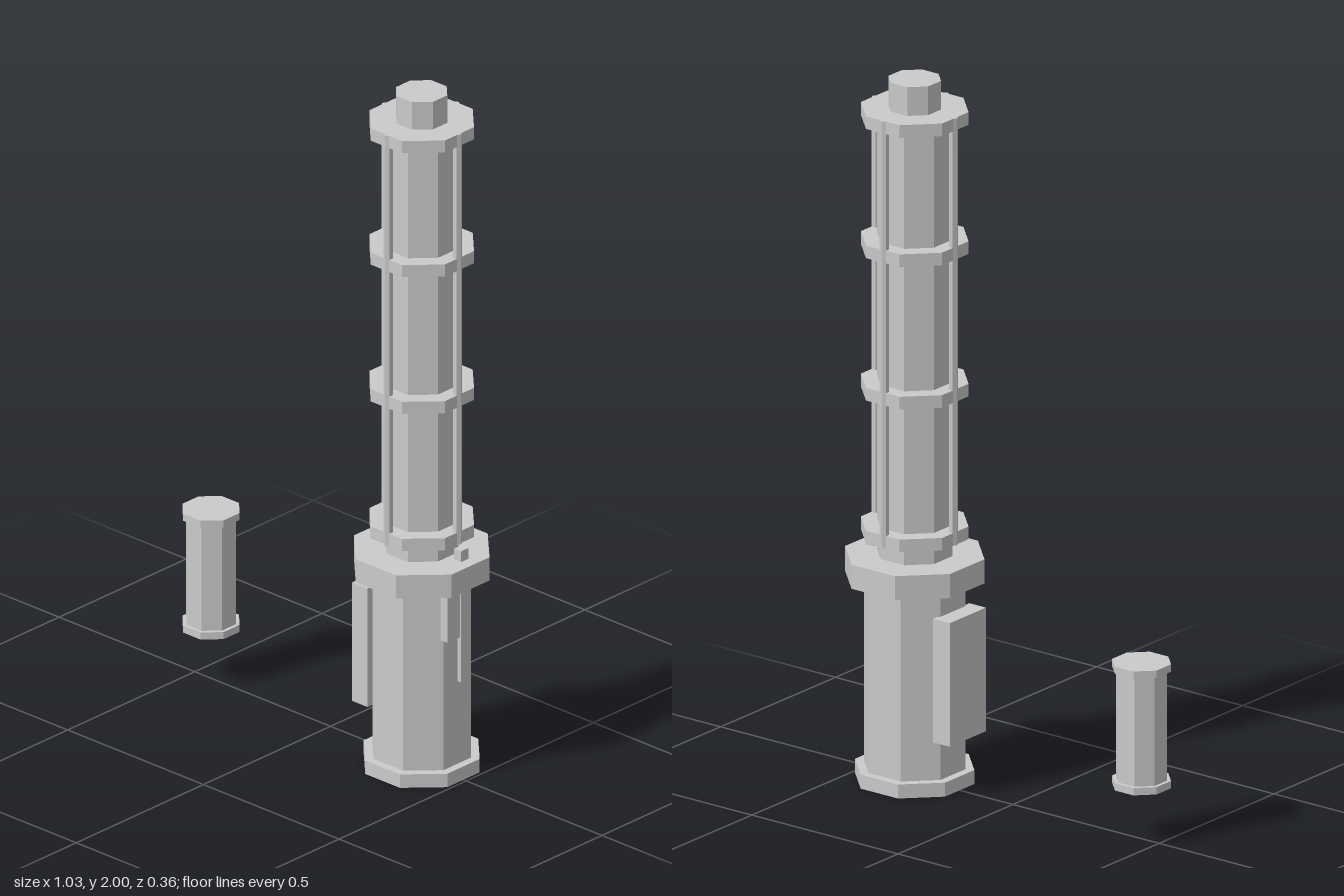
import * as THREE from 'three';

const grey = new THREE.MeshStandardMaterial({ color: 0xcccccc, flatShading: true });

function add(parent, name, geometry) {
  const mesh = new THREE.Mesh(geometry, grey);
  mesh.name = name;
  parent.add(mesh);
  return mesh;
}

// Octagonal prism with flats facing the axes; a = centre-to-flat distance
function octagon(parent, name, a, y0, y1) {
  const r = a / Math.cos(Math.PI / 8);
  const geometry = new THREE.CylinderGeometry(r, r, y1 - y0, 8);
  geometry.rotateY(Math.PI / 8).translate(0, (y0 + y1) / 2, 0);
  return add(parent, name, geometry);
}

// Box given by its limits on each axis
function block(parent, name, [x0, x1], [y0, y1], [z0, z1]) {
  const geometry = new THREE.BoxGeometry(x1 - x0, y1 - y0, z1 - z0);
  geometry.translate((x0 + x1) / 2, (y0 + y1) / 2, (z0 + z1) / 2);
  return add(parent, name, geometry);
}

export function createModel() {
  const model = new THREE.Group();
  model.name = 'model';

  // Tall device: handle below, caged column above
  const device = new THREE.Group();
  device.name = 'device';
  device.position.x = 0.336;
  model.add(device);

  octagon(device, 'pommel', 0.154, 0, 0.04);
  octagon(device, 'grip', 0.131, 0.04, 0.576);
  octagon(device, 'guard', 0.18, 0.576, 0.645);
  octagon(device, 'core', 0.097, 0.645, 1.9);
  octagon(device, 'tip', 0.068, 1.918, 2);

  // Cage rings and the four rods that join them
  for (const y of [0.698, 1.106, 1.513, 1.882]) {
    octagon(device, 'cageRing', 0.139, y, y + 0.036);
  }
  for (let i = 0; i < 4; i++) {
    const geometry = new THREE.CylinderGeometry(0.013, 0.013, 1.22, 6);
    geometry.translate(0, 1.308, 0.132).rotateY(i * Math.PI / 2);
    add(device, 'cageRod', geometry);
  }

  // Fittings on the sides of the grip
  block(device, 'sidePanel', [-0.182, -0.125], [0.153, 0.506], [-0.079, 0.079]);
  block(device, 'button', [0.12, 0.151], [0.427, 0.566], [0.01, 0.06]);
  block(device, 'slider', [0.119, 0.145], [0.287, 0.677], [-0.03, 0]);

  // Separate canister with end caps
  const canister = new THREE.Group();
  canister.name = 'canister';
  canister.position.x = -0.44;
  model.add(canister);
  octagon(canister, 'canisterBody', 0.066, 0.173, 0.485);
  octagon(canister, 'canisterBottomCap', 0.076, 0.152, 0.173);
  octagon(canister, 'canisterTopCap', 0.076, 0.485, 0.506);

  return model;
}
